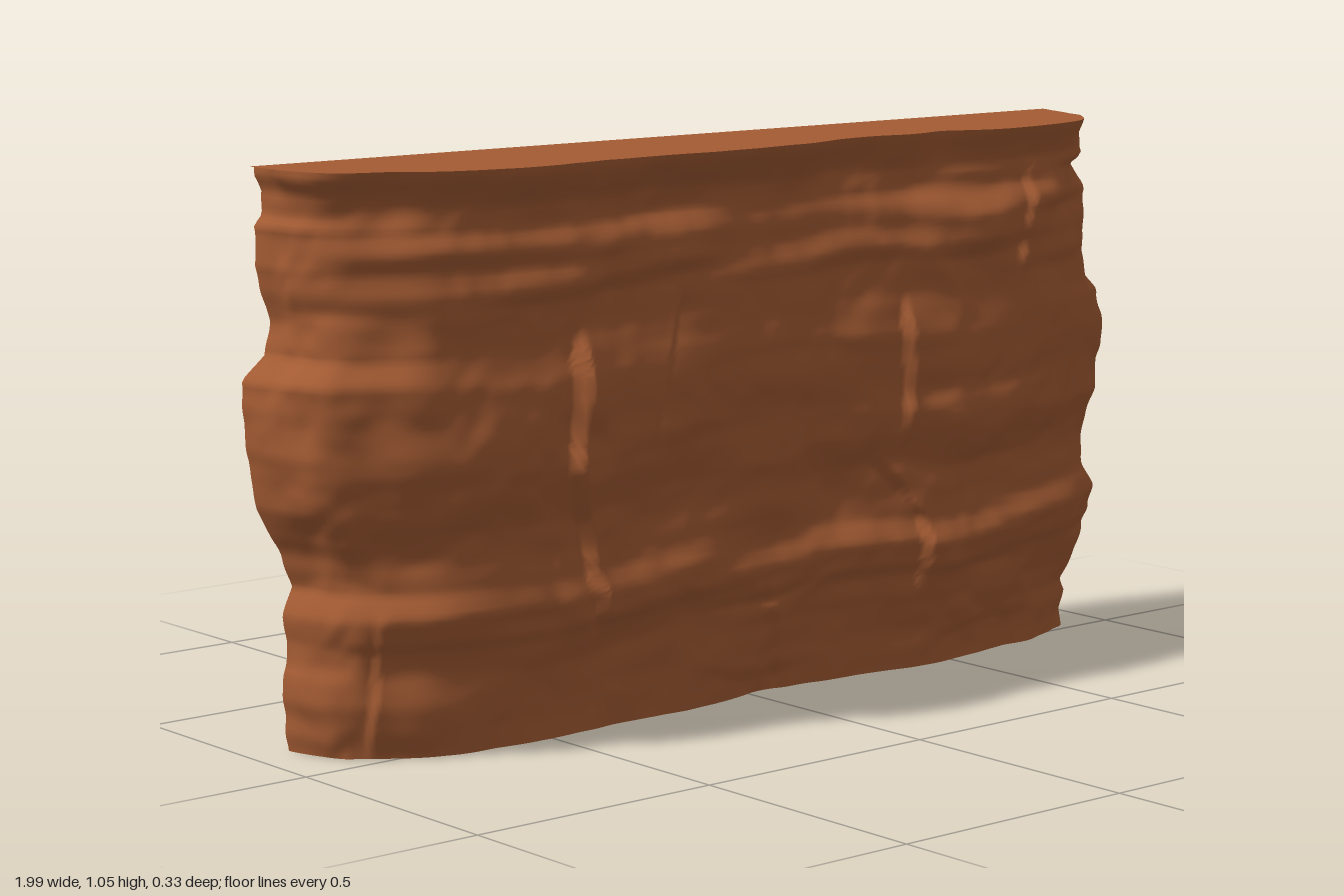
import * as THREE from 'three';

const { lerp, smoothstep, clamp } = THREE.MathUtils;
const H = 1.055, BACK = -0.175, COLS = 260, ROWS = 120;

// Height profiles as [y, value]: left edge, right edge and front depth
const LEFT = [[0, .92], [.1, .925], [.2, .92], [.25, .925], [.3, .905], [.36, .93], [.45, .975], [.55, .995], [.68, 1], [.72, .95],
  [.78, .94], [.83, .955], [.88, .97], [.95, .97], [.97, .95], [1.01, .95], [1.04, .97], [H, .97]];
const RIGHT = [[0, .94], [.07, .94], [.1, .92], [.17, .95], [.2, .97], [.3, .97], [.35, .96], [.4, .965], [.5, .99], [.6, .975],
  [.7, .975], [.73, .95], [.8, .94], [.87, .945], [.95, .94], [.963, .93], [.98, .98], [1.03, .97], [H, .975]];
const FRONT = [[0, .062], [.15, .068], [.2, .085], [.22, .105], [.27, .12], [.31, .095], [.36, .09], [.42, .098], [.48, .125],
  [.53, .138], [.68, .138], [.75, .118], [.82, .115], [.85, .14], [.9, .14], [.94, .108], [.965, .11], [.99, .115], [1.01, .135],
  [1.04, .165], [H, .172]];

// Plan outline: x positions with depth fractions for the body and for the top lip
const PX = [-1, -.99, -.96, -.88, -.8, -.58, -.4, -.2, 0, .2, .36, .46, .57, .72, .82, .89, .96, .99, 1];
const BODY = [0, .3, .56, .75, .9, .97, .93, .91, .88, .84, .92, 1, .98, .93, .86, .76, .62, .45, 0];
const LIP = [0, .35, .56, .69, .86, .97, .93, .88, .84, .76, .75, .71, .81, .79, .75, .63, .33, .1, 0];

// Vertical cracks as [y, x] paths with a step in depth across them
const CRACKS = [
  { path: [[.2, -.4], [.34, -.43], [.5, -.49], [.73, -.475]], step: .024 },
  { path: [[.5, .335], [.72, .325]], step: .018 },
  { path: [[.17, .395], [.31, .39], [.37, .34], [.43, .28]], step: .016 },
  { path: [[.02, .07], [.2, .02]], step: .01 },
  { path: [[.02, -.86], [.25, -.84]], step: .01 },
  { path: [[.56, -.29], [.78, -.23]], step: -.016 },
  { path: [[.78, .62], [.95, .66]], step: .012 },
];

function lookup(table, y) {
  let i = 1;
  while (i < table.length - 1 && table[i][0] < y) i++;
  const [a, b] = [table[i - 1], table[i]];
  return lerp(a[1], b[1], clamp((y - a[0]) / (b[0] - a[0]), 0, 1));
}

function hash(i, j) {
  const s = Math.sin(i * 127.1 + j * 311.7) * 43758.5453;
  return (s - Math.floor(s)) * 2 - 1;
}

function noise(x, y) {
  const i = Math.floor(x), j = Math.floor(y);
  const u = smoothstep(x - i, 0, 1), v = smoothstep(y - j, 0, 1);
  return lerp(lerp(hash(i, j), hash(i + 1, j), u), lerp(hash(i, j + 1), hash(i + 1, j + 1), u), v);
}

// Depth offset of the rock: rounded bulges, flat strata, fine grain and cracks
function relief(s, y) {
  const ws = s + .05 * noise(s * 5, y * 6 + 9), wy = y + .025 * noise(s * 5 + 20, y * 5);
  let d = .012 * noise(ws * 4.5 + 5, wy * 5.5) + .006 * noise(ws * 5 + 40, wy * 14);
  d += .006 * noise(ws * 11, wy * 13 + 30) + .0025 * noise(ws * 24, wy * 28);
  d += .008 * smoothstep(noise(ws * 3.2 + 70, wy * 8), -.15, .25) - .004;
  for (const { path, step } of CRACKS) {
    const y0 = path[0][0], y1 = path[path.length - 1][0];
    const fade = smoothstep(y, y0 - .04, y0 + .04) * (1 - smoothstep(y, y1 - .03, y1 + .04));
    const dx = s - lookup(path, y) - .006 * noise(y * 16, 3);
    const side = smoothstep(dx, -.008, .008);
    d += fade * step * lerp(-.35 * Math.exp(-Math.abs(dx) * 25), Math.exp(-Math.abs(dx) * 12), side);
  }
  return d;
}

// One horizontal section, running from the right back edge round the front to the left back edge
function section(y) {
  const l = lookup(LEFT, y) + .004 * noise(y * 30, 50), r = lookup(RIGHT, y) + .004 * noise(y * 30, 60);
  const lip = smoothstep(y, .9, 1.04);
  const pts = PX.map((px, i) => {
    // Strata rise and dip along the face, and are sharp in some places and worn in others
    const sy = y + .035 * noise(px * 4 + 11, 2) * Math.sin(Math.PI * y / H);
    const sharp = Math.max(smoothstep(y, .88, .95), smoothstep(noise(px * 3.5 + 7, y * 3), -.4, .4));
    const worn = (lookup(FRONT, sy - .06) + lookup(FRONT, sy + .06)) / 2;
    const depth = lerp(worn, lookup(FRONT, sy), sharp) - BACK;
    return new THREE.Vector3(px < 0 ? px * l : px * r, 0, BACK + depth * lerp(BODY[i], LIP[i], lip));
  });
  const path = new THREE.CatmullRomCurve3(pts, false, 'centripetal').getSpacedPoints(COLS);
  return path.map((p, i) => {
    const a = path[Math.max(i - 1, 0)], b = path[Math.min(i + 1, COLS)];
    const n = new THREE.Vector2(-(b.z - a.z), b.x - a.x).normalize();
    const edge = smoothstep(Math.min(i, COLS - i), 0, 10);
    const s = p.x - Math.sign(p.x) * p.z * smoothstep(Math.abs(p.x), .75, .95);
    const d = relief(s, y) * edge;
    return new THREE.Vector3(p.x + n.x * d, y, Math.max(BACK, p.z + n.y * d));
  });
}

// Skin a list of equally long rows
function skin(rows) {
  const w = rows[0].length, index = [];
  for (let j = 0; j < rows.length - 1; j++) {
    for (let i = 0; i < w - 1; i++) {
      const a = j * w + i, b = a + 1, c = a + w, d = c + 1;
      index.push(a, b, d, a, d, c);
    }
  }
  const g = new THREE.BufferGeometry().setFromPoints(rows.flat());
  g.setIndex(index);
  g.computeVertexNormals();
  return g;
}

export function createModel() {
  const group = new THREE.Group();
  group.name = 'rockWall';
  const material = new THREE.MeshStandardMaterial({ color: 0xa35b33, side: THREE.DoubleSide });
  const add = (name, rows) => {
    const mesh = new THREE.Mesh(skin(rows), material);
    mesh.name = name;
    group.add(mesh);
  };
  const rows = Array.from({ length: ROWS + 1 }, (_, j) => section(H * j / ROWS));
  const top = rows[ROWS];

  // Weathered front and ends, open underneath
  add('rockFace', rows);
  // Flat back and top
  add('flatBack', rows.map(row => [row[COLS], row[0]]));
  add('flatTop', [top, top.map(p => new THREE.Vector3(p.x, p.y, BACK))]);
  return group;
}
